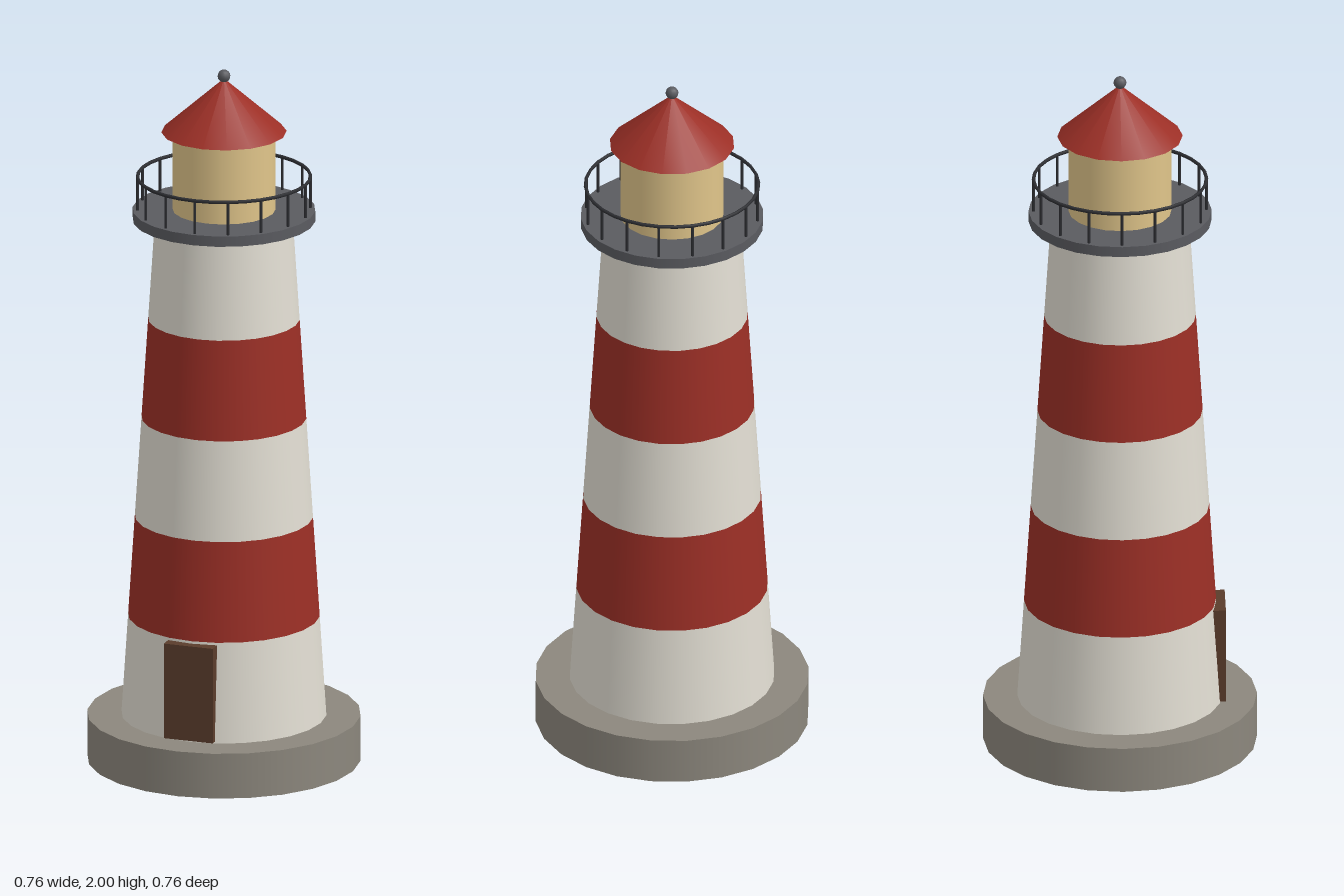
import * as THREE from 'three';

const mat = (name, color) => {
  const m = new THREE.MeshStandardMaterial({ color });
  m.name = name;
  return m;
};

export function createModel() {
  const white = mat('white paint', 0xe2ded3);
  const red = mat('red paint', 0x9c2f26);
  const stone = mat('stone', 0x8c877d);
  const metal = mat('grey metal', 0x5a5b60);
  const iron = mat('dark iron', 0x2d2e32);
  const glow = mat('lantern glow', 0xe0c58a);
  const wood = mat('door wood', 0x5a3c2b);

  const model = new THREE.Group();
  model.name = 'lighthouse';

  const add = (name, geometry, material, y = 0, x = 0, z = 0) => {
    const mesh = new THREE.Mesh(geometry, material);
    mesh.name = name;
    mesh.position.set(x, y, z);
    model.add(mesh);
    return mesh;
  };
  // Upright round part between two heights
  const drum = (name, rBottom, rTop, y0, y1, material, sides = 24, open = false) =>
    add(name, new THREE.CylinderGeometry(rTop, rBottom, y1 - y0, sides, 1, open), material, (y0 + y1) / 2);

  // Foundation
  drum('base', 0.38, 0.38, 0, 0.13, stone);

  // Tapered tower in five alternating bands
  const bands = 5, y0 = 0.13, y1 = 1.565, r0 = 0.285, r1 = 0.192;
  for (let i = 0; i < bands; i++) {
    const a = i / bands, b = (i + 1) / bands;
    drum('towerBand' + (i + 1),
      THREE.MathUtils.lerp(r0, r1, a), THREE.MathUtils.lerp(r0, r1, b),
      THREE.MathUtils.lerp(y0, y1, a), THREE.MathUtils.lerp(y0, y1, b),
      i % 2 ? red : white, 24, true);
  }

  // Door set into the lowest band
  add('door', new THREE.BoxGeometry(0.144, 0.275, 0.04), wood, 0.2725, 0, 0.272);

  // Gallery deck with its railing
  drum('galleryDeck', 0.254, 0.254, 1.565, 1.595, metal);
  const rail = add('handrail', new THREE.TorusGeometry(0.24, 0.005, 6, 32), iron, 1.69);
  rail.rotation.x = Math.PI / 2;
  const postGeometry = new THREE.CylinderGeometry(0.004, 0.004, 0.1, 6);
  for (let i = 0; i < 16; i++) {
    const t = (i / 16) * Math.PI * 2;
    add('railPost', postGeometry, iron, 1.642, Math.sin(t) * 0.24, Math.cos(t) * 0.24);
  }

  // Lantern room, roof and finial
  drum('lanternRoom', 0.143, 0.143, 1.595, 1.82, glow, 20);
  add('roof', new THREE.ConeGeometry(0.174, 0.155, 16), red, 1.8975);
  add('finial', new THREE.SphereGeometry(0.018, 12, 8), metal, 1.982);

  return model;
}
